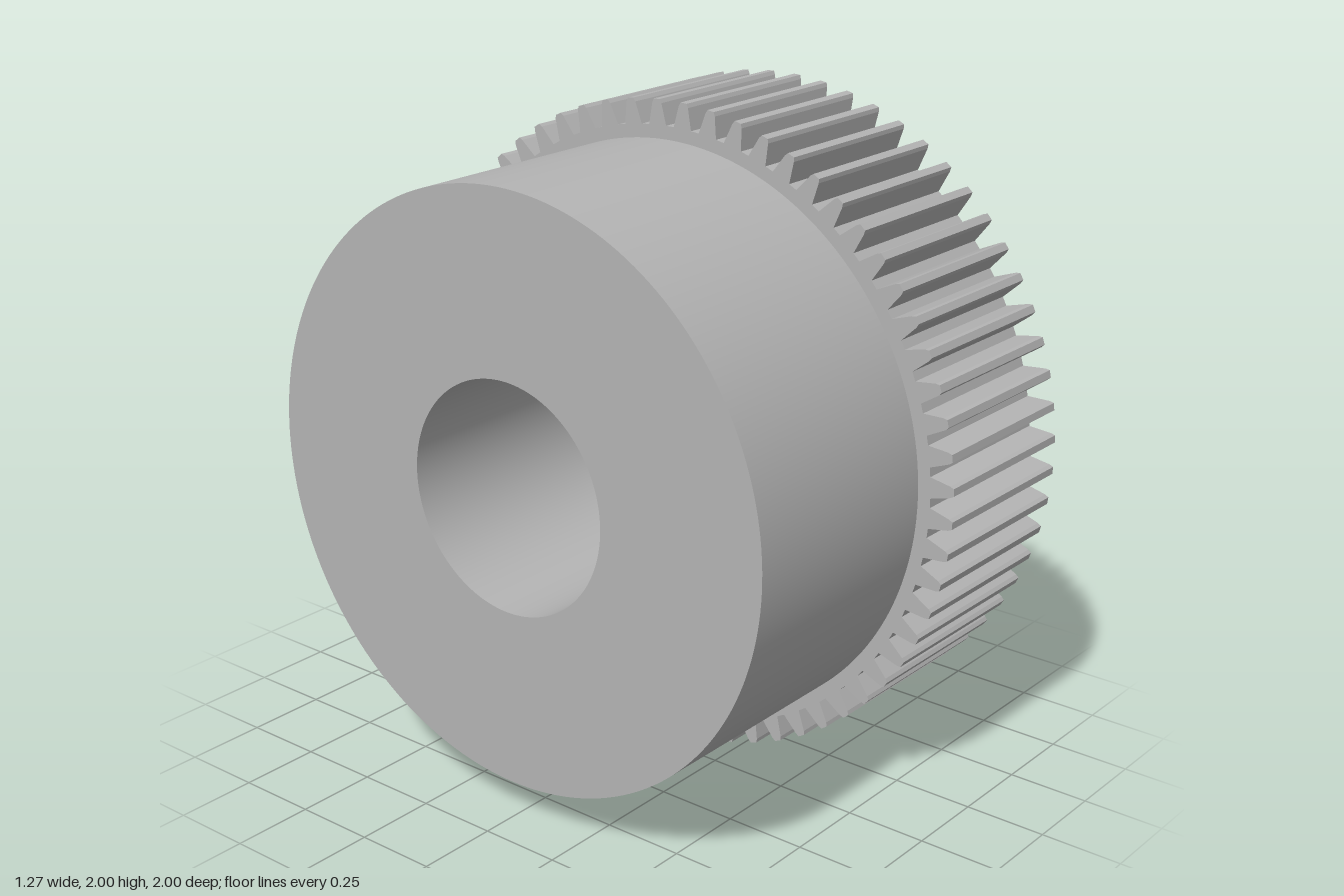
import * as THREE from 'three';
import { toCreasedNormals } from 'three/addons/utils/BufferGeometryUtils.js';

const TEETH = 64;
const PITCH = (Math.PI * 2) / TEETH;
const HUB_R = 0.345;
const BACK_X = -0.64, STEP_X = 0.08, FRONT_X = 0.63;

// One tooth across: side, height share (0 floor, 1 crest)
const TOOTH = [[-1, 0], [-1, 0.85], [-1, 1], [1, 1], [1, 0.85], [1, 0]];

// Closed rings, from the back step over the rim and in to the hub.
// Each gives radius and x at floor and crest, and half angles at base, shoulder and tip.
const RINGS = [
  { r: [0.88, 0.88], x: [STEP_X, STEP_X], half: [0.034, 0.016, 0.011] },
  { r: [0.925, 1], x: [STEP_X, STEP_X], half: [0.034, 0.017, 0.011] },
  { r: [0.925, 1], x: [0.613, FRONT_X], half: [0.034, 0.017, 0.011] },
  { r: [0.6, 0.6], x: [0.55, 0.596], half: [0.035, 0.017, 0.012] },
  { r: [HUB_R, HUB_R], x: [0.495, 0.55], half: [0.038, 0.018, 0.013] },
];

function toothedGeometry() {
  const positions = [], index = [];
  const count = TEETH * TOOTH.length;
  for (const { r, x, half } of RINGS) {
    for (let i = 0; i < TEETH; i++) {
      for (const [side, t] of TOOTH) {
        const level = t === 0 ? 0 : t < 1 ? 1 : 2;
        const angle = (i + 0.5) * PITCH + side * half[level];
        const radius = THREE.MathUtils.lerp(r[0], r[1], t);
        positions.push(
          THREE.MathUtils.lerp(x[0], x[1], t),
          radius * Math.cos(angle),
          radius * Math.sin(angle));
      }
    }
  }
  for (let k = 0; k < RINGS.length - 1; k++) {
    for (let j = 0; j < count; j++) {
      const n = (j + 1) % count;
      const a = k * count + j, b = k * count + n;
      const c = b + count, d = a + count;
      index.push(a, b, c, a, c, d);
    }
  }
  const geometry = new THREE.BufferGeometry();
  geometry.setAttribute('position', new THREE.Float32BufferAttribute(positions, 3));
  geometry.setIndex(index);
  const flat = geometry.toNonIndexed();
  flat.computeVertexNormals();
  return flat;
}

// Round sleeve with a bore through it
function sleeveGeometry() {
  const shape = new THREE.Shape().absarc(0, 0, 0.885, 0, Math.PI * 2, false);
  shape.holes.push(new THREE.Path().absarc(0, 0, HUB_R, 0, Math.PI * 2, true));
  const geometry = new THREE.ExtrudeGeometry(shape, {
    depth: STEP_X - BACK_X, bevelEnabled: false, curveSegments: 96,
  });
  geometry.rotateY(Math.PI / 2).translate(BACK_X, 0, 0);
  return toCreasedNormals(geometry, 0.4);
}

export function createModel() {
  const steel = new THREE.MeshStandardMaterial({ color: 0xb4b4b4 });
  steel.name = 'grey steel';

  const model = new THREE.Group();
  model.name = 'toothedCoupling';
  const add = (name, geometry) => {
    const mesh = new THREE.Mesh(geometry, steel);
    mesh.name = name;
    mesh.position.y = 1;
    model.add(mesh);
  };

  add('sleeve', sleeveGeometry());
  add('toothedRing', toothedGeometry());

  // Plug closes the bore and stands proud of the dished face
  const length = FRONT_X - STEP_X;
  const plug = new THREE.CylinderGeometry(HUB_R, HUB_R, length, 96);
  plug.rotateZ(-Math.PI / 2).translate(STEP_X + length / 2, 0, 0);
  add('hubPlug', plug);

  return model;
}
